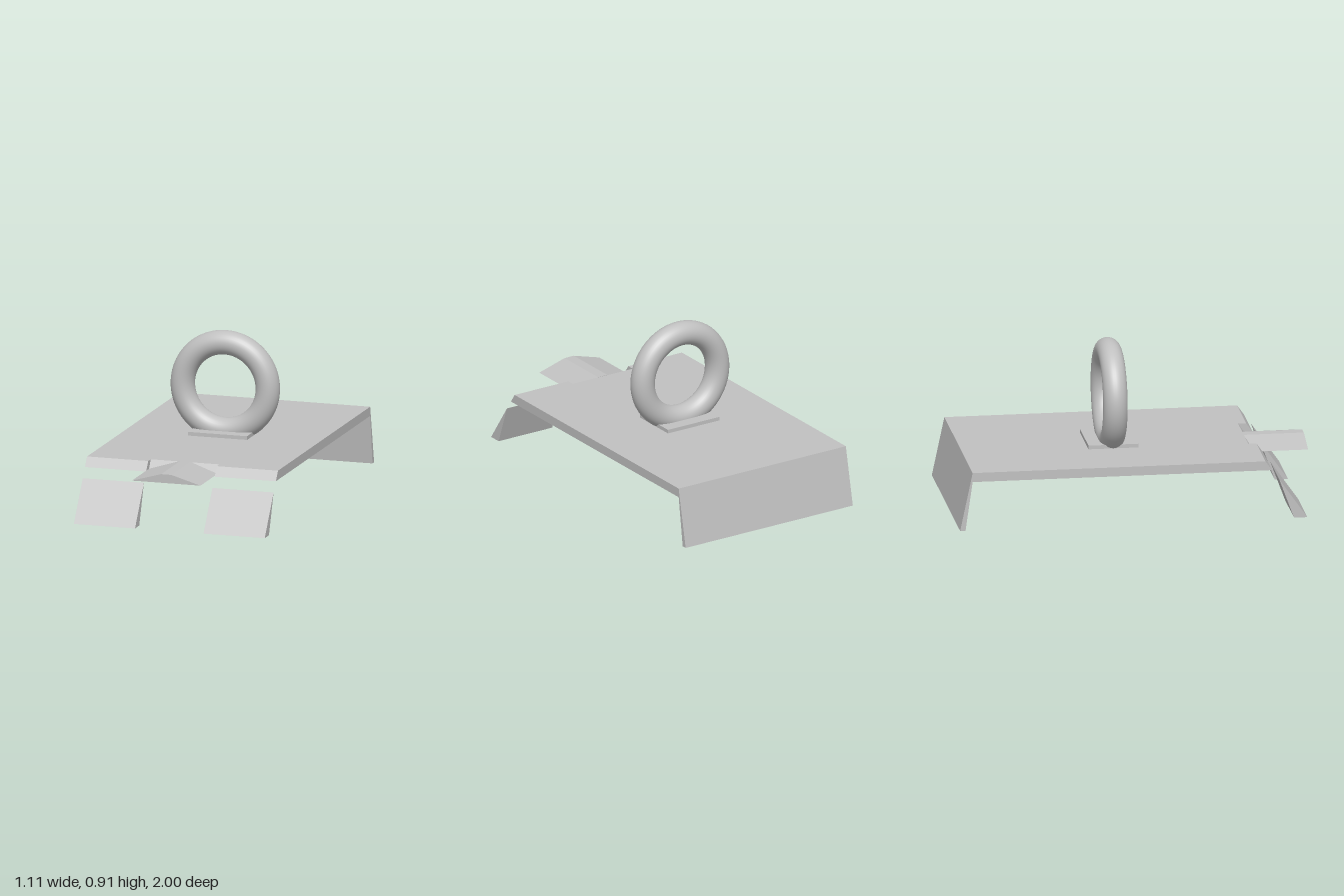
import * as THREE from 'three';

const metal = new THREE.MeshStandardMaterial({ color: 0xc0c0c0 });
metal.name = 'plain grey';

// Extrudes a [z, y] side profile across the width from x0 to x1
function prism(name, profile, x0, x1) {
  const shape = new THREE.Shape(profile.map(([z, y]) => new THREE.Vector2(-z, y)));
  const geo = new THREE.ExtrudeGeometry(shape, { depth: x1 - x0, bevelEnabled: false });
  geo.rotateY(Math.PI / 2).translate(x0, 0, 0);
  const mesh = new THREE.Mesh(geo, metal);
  mesh.name = name;
  return mesh;
}

export function createModel() {
  const model = new THREE.Group();
  model.name = 'ringPlate';
  const left = 0.557, right = -0.557, notch = 0.2;
  const top = 0.332, under = 0.28;

  // Plate, with a slanted front edge at the back of the notch
  model.add(prism('plate', [[-0.93, top], [0.665, top], [0.7, under], [-0.93, under]], right, left));

  // Sloping rear flap that reaches the ground
  model.add(prism('rearFlap', [[-0.93, top], [-0.93, under], [-0.97, 0], [-1, 0]], right, left));

  // Front tabs beside the notch, and the leaning wedge feet in front of them
  const tab = [[0.665, top], [0.71, top], [0.747, under], [0.7, under]];
  const foot = [[0.787, 0.225], [0.945, 0], [0.87, 0]];
  for (const [side, x0, x1] of [['left', notch, left], ['right', right, -notch]]) {
    model.add(prism(side + 'FrontTab', tab, x0, x1));
    model.add(prism(side + 'Foot', foot, x0, x1));
  }

  // Ridged tongue projecting from the notch
  const ridge = new THREE.Shape([[-0.2, 0.285], [0.2, 0.285], [0.03, 0.334], [-0.03, 0.334]]
    .map(([x, y]) => new THREE.Vector2(x, y)));
  const tongue = new THREE.Mesh(
    new THREE.ExtrudeGeometry(ridge, { depth: 0.335, bevelEnabled: false }), metal);
  tongue.position.z = 0.665;
  tongue.name = 'tongue';
  model.add(tongue);

  // Pad under the ring
  const pad = new THREE.Mesh(new THREE.BoxGeometry(0.345, 0.03, 0.28), metal);
  pad.position.set(-0.012, 0.338, -0.088);
  pad.name = 'ringPad';
  model.add(pad);

  // Upright ring
  const ring = new THREE.Mesh(new THREE.TorusGeometry(0.248, 0.068, 32, 96), metal);
  ring.position.set(-0.012, 0.597, -0.088);
  ring.name = 'ring';
  model.add(ring);

  return model;
}
